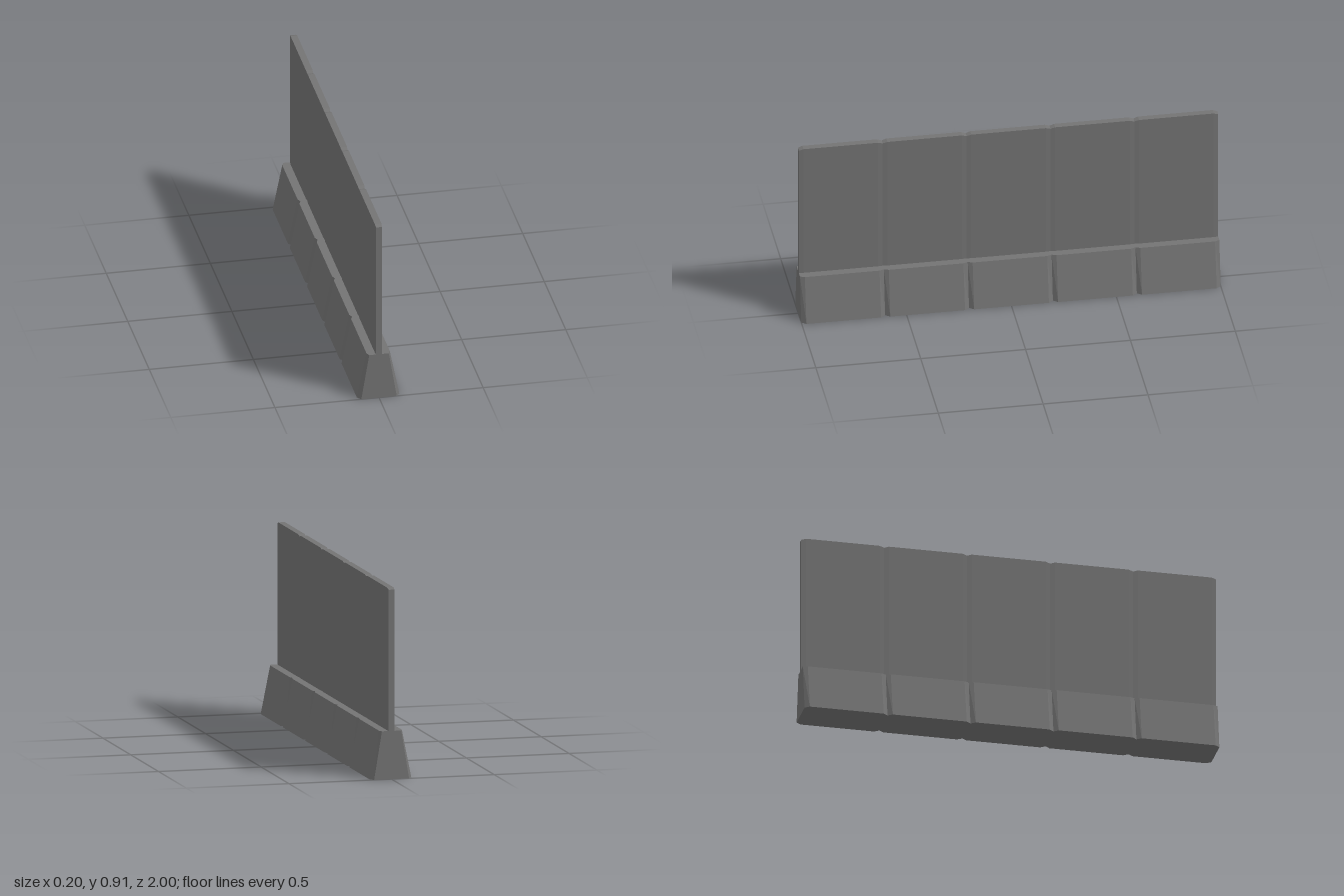
import * as THREE from 'three';

const SEGMENTS = 5, LENGTH = 0.4, BEVEL = 0.022;

// Skin a row of four-cornered cross-sections that run along z, with end caps.
function loft(sections) {
  const pos = [];
  const quad = (a, b, c, d) => pos.push(...a, ...b, ...c, ...a, ...c, ...d);
  for (let i = 0; i < sections.length - 1; i++) {
    const s = sections[i], t = sections[i + 1];
    for (let k = 0; k < 4; k++) {
      const n = (k + 1) % 4;
      quad(s[k], s[n], t[n], t[k]);
    }
  }
  const first = sections[0], last = sections[sections.length - 1];
  quad(first[3], first[2], first[1], first[0]);
  quad(...last);
  const geometry = new THREE.BufferGeometry();
  geometry.setAttribute('position', new THREE.Float32BufferAttribute(pos, 3));
  geometry.computeVertexNormals();
  return geometry;
}

// Counter-clockwise trapezoid seen from +z.
function trapezoid(bottomHalf, topHalf, y0, y1, z) {
  return [[-bottomHalf, y0, z], [bottomHalf, y0, z], [topHalf, y1, z], [-topHalf, y1, z]];
}

// Each segment narrows at both ends, leaving a V groove at every joint.
function segmentedBar(full, narrow) {
  const sections = [];
  for (let i = 0; i < SEGMENTS; i++) {
    const z = -1 + i * LENGTH;
    if (i === 0) sections.push(trapezoid(...narrow, z));
    sections.push(trapezoid(...full, z + BEVEL));
    sections.push(trapezoid(...full, z + LENGTH - BEVEL));
    sections.push(trapezoid(...narrow, z + LENGTH));
  }
  return loft(sections);
}

export function createModel() {
  const group = new THREE.Group();
  group.name = 'barrierWall';
  const concrete = new THREE.MeshStandardMaterial({ color: 0x737373 });
  concrete.name = 'concreteGrey';

  // Sloping foot
  const base = new THREE.Mesh(
    segmentedBar([0.102, 0.056, 0, 0.23], [0.085, 0.047, 0, 0.23]), concrete);
  base.name = 'base';

  // Thin upright panel
  const panel = new THREE.Mesh(
    segmentedBar([0.016, 0.016, 0.22, 0.91], [0.014, 0.014, 0.22, 0.903]), concrete);
  panel.name = 'panel';

  group.add(base, panel);
  return group;
}
